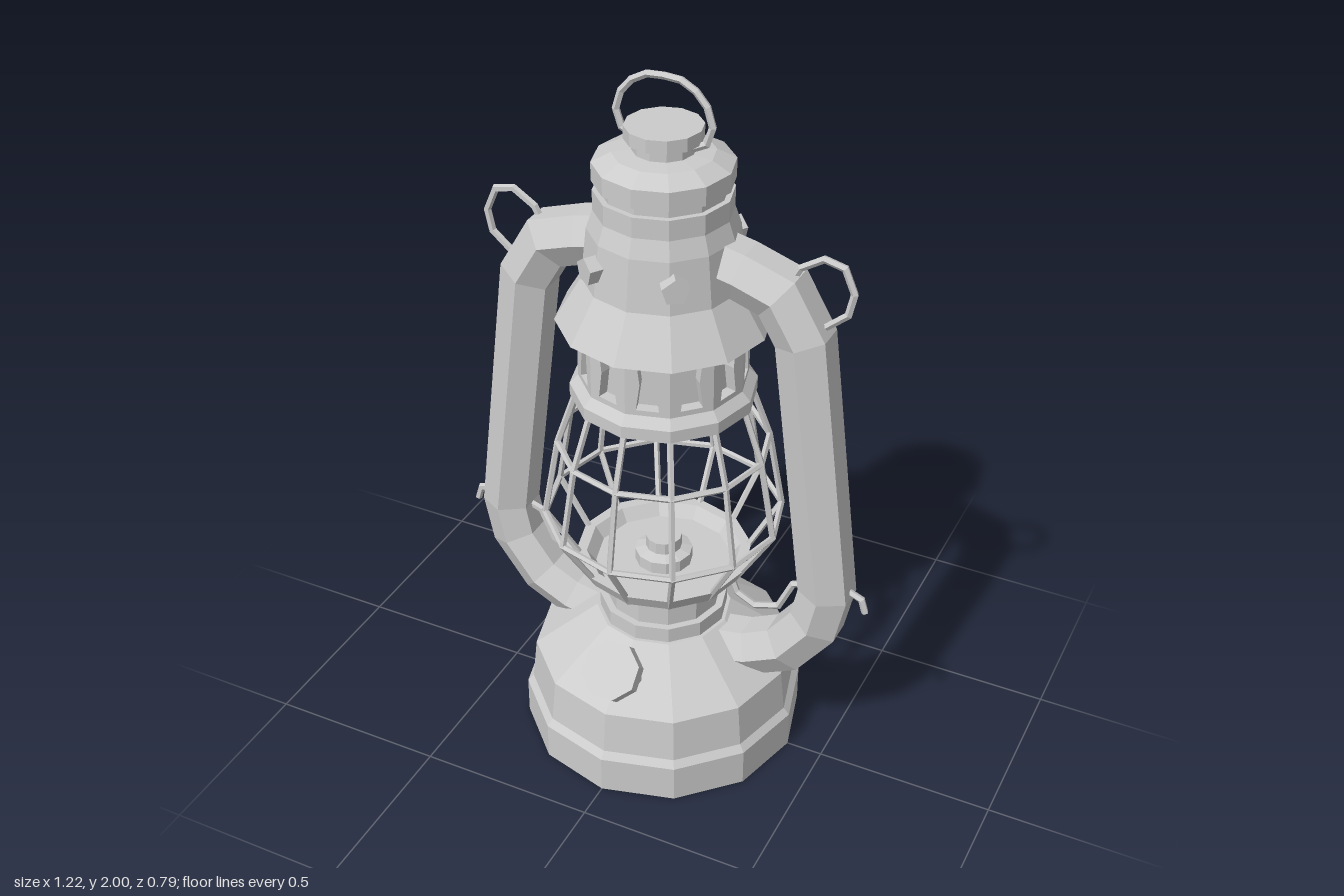
import * as THREE from 'three';

const SIDES = 12;
const mat = new THREE.MeshStandardMaterial({ color: 0xcccccc, flatShading: true, side: THREE.DoubleSide });

function add(parent, name, geometry) {
  const mesh = new THREE.Mesh(geometry, mat);
  mesh.name = name;
  parent.add(mesh);
  return mesh;
}

// Faceted turned part from [radius, height] pairs
const turned = (profile) => new THREE.LatheGeometry(profile.map(([r, y]) => new THREE.Vector2(r, y)), SIDES);

// Mitred sweep of a regular polygon along a path in the xy plane, with end caps
function sweep(path, radius, sides) {
  const pts = path.map(([x, y]) => new THREE.Vector2(x, y));
  const pos = [], index = [], last = pts.length - 1;
  pts.forEach((p, i) => {
    const a = p.clone().sub(pts[Math.max(i - 1, 0)]).normalize();
    const b = pts[Math.min(i + 1, last)].clone().sub(p).normalize();
    const t = a.clone().add(b).normalize();
    const miter = 1 / Math.max(0.5, t.dot(i ? a : b));
    for (let j = 0; j < sides; j++) {
      const ang = (j / sides) * Math.PI * 2;
      const n = Math.sin(ang) * radius * miter;
      pos.push(p.x - t.y * n, p.y + t.x * n, Math.cos(ang) * radius);
    }
  });
  for (let i = 0; i < last; i++) {
    for (let j = 0; j < sides; j++) {
      const a = i * sides + j, b = i * sides + ((j + 1) % sides);
      index.push(a, a + sides, b, b, a + sides, b + sides);
    }
  }
  const end = last * sides;
  for (let j = 1; j < sides - 1; j++) index.push(0, j, j + 1, end, end + j + 1, end + j);
  const g = new THREE.BufferGeometry();
  g.setAttribute('position', new THREE.Float32BufferAttribute(pos, 3));
  g.setIndex(index);
  g.computeVertexNormals();
  return g;
}

export function createModel() {
  const lantern = new THREE.Group();
  lantern.name = 'lantern';

  // Fuel tank and stepped collar
  add(lantern, 'fuelTank', turned([
    [0, 0], [0.397, 0], [0.397, 0.11], [0.38, 0.13], [0.367, 0.255], [0.19, 0.385],
    [0.18, 0.385], [0.18, 0.43], [0.16, 0.43], [0.16, 0.49], [0, 0.49],
  ]));

  // Bowl below the cage, with a hollow top, and the burner in it
  add(lantern, 'burnerBowl', turned([
    [0.155, 0.485], [0.225, 0.54], [0.245, 0.58], [0.215, 0.58], [0.19, 0.545], [0, 0.545],
  ]));
  add(lantern, 'burner', turned([[0.08, 0.545], [0.08, 0.58], [0.05, 0.59], [0.05, 0.625], [0, 0.625]]));

  // Wire cage
  const cage = new THREE.Group();
  cage.name = 'wireCage';
  lantern.add(cage);
  const rib = sweep([[0.215, 0.54], [0.325, 0.72], [0.285, 0.95], [0.23, 1.11]], 0.009, 5);
  for (let i = 0; i < SIDES; i++) add(cage, 'cageRib', rib).rotation.y = (i / SIDES) * Math.PI * 2;
  for (const [r, y] of [[0.325, 0.72], [0.285, 0.95]]) {
    const ring = add(cage, 'cageRing', new THREE.TorusGeometry(r, 0.009, 5, SIDES));
    ring.rotation.x = Math.PI / 2;
    ring.position.y = y;
  }

  // Rim above the cage
  add(lantern, 'upperRim', turned([
    [0, 1.135], [0.2, 1.135], [0.215, 1.1], [0.248, 1.1], [0.248, 1.135], [0.225, 1.16], [0, 1.16],
  ]));

  // Vent wall: one slotted plate per facet around an inner core
  const vents = new THREE.Group();
  vents.name = 'ventWall';
  lantern.add(vents);
  const half = 0.225 * Math.sin(Math.PI / SIDES), inner = 0.225 * Math.cos(Math.PI / SIDES);
  const plate = new THREE.Shape([[-half, 1.15], [half, 1.15], [half, 1.36], [-half, 1.36]]
    .map(([x, y]) => new THREE.Vector2(x, y)));
  plate.holes.push(new THREE.Path([
    [-0.03, 1.175], [-0.02, 1.25], [-0.03, 1.335], [0.03, 1.335], [0.02, 1.25], [0.03, 1.175],
  ].map(([x, y]) => new THREE.Vector2(x, y))));
  const plateGeometry = new THREE.ExtrudeGeometry(plate, { depth: 0.03, bevelEnabled: false });
  plateGeometry.translate(0, 0, inner - 0.03);
  for (let i = 0; i < SIDES; i++) {
    add(vents, 'ventPlate', plateGeometry).rotation.y = ((i + 0.5) / SIDES) * Math.PI * 2;
  }
  add(vents, 'ventCore', turned([[0.185, 1.15], [0.185, 1.37]]));

  // Skirt, chimney and cap
  add(lantern, 'chimney', turned([
    [0, 1.36], [0.225, 1.36], [0.282, 1.33], [0.21, 1.45], [0.195, 1.59], [0.178, 1.64],
    [0.178, 1.695], [0.163, 1.695], [0.163, 1.72], [0.18, 1.72], [0.18, 1.77], [0.13, 1.795],
    [0.08, 1.8], [0.08, 1.83], [0.1, 1.83], [0.1, 1.865], [0, 1.865],
  ]));

  // Five-sided studs around the chimney
  for (const angle of [33, 147, 213, 327]) {
    const stud = new THREE.CylinderGeometry(0.036, 0.036, 0.07, 5);
    stud.rotateX(Math.PI / 2);
    stud.rotateZ(Math.PI);
    if (new THREE.Vector3().fromBufferAttribute(stud.attributes.position, 0).y < 0) stud.rotateZ(Math.PI);
    stud.translate(0, 1.525, 0.195);
    add(lantern, 'chimneyStud', stud).rotation.y = THREE.MathUtils.degToRad(angle);
  }

  // Side frame tubes with their wire hooks, repeated on both sides
  for (const turn of [0, Math.PI]) {
    const side = new THREE.Group();
    side.name = turn ? 'rightFrame' : 'leftFrame';
    side.rotation.y = turn;
    lantern.add(side);
    add(side, 'frameTube', sweep([
      [0.15, 1.53], [0.22, 1.515], [0.325, 1.48], [0.392, 1.365], [0.488, 0.6],
      [0.465, 0.49], [0.38, 0.375], [0.28, 0.325], [0.2, 0.31],
    ], 0.079, 6));
    add(side, 'upperHook', sweep([
      [0.34, 1.5], [0.37, 1.56], [0.43, 1.598], [0.485, 1.585], [0.513, 1.52], [0.5, 1.46], [0.43, 1.4], [0.39, 1.4],
    ], 0.01, 5));
    add(side, 'lowerHook', sweep([
      [0.6, 0.56], [0.588, 0.6], [0.55, 0.615], [0.47, 0.61], [0.39, 0.585],
      [0.35, 0.495], [0.28, 0.472], [0.225, 0.5], [0.205, 0.55],
    ], 0.01, 5));
  }

  // Lifting ring on the cap
  const arc = [[0.075, 1.815], [0.115, 1.835], [0.13, 1.88], [0.115, 1.93], [0.085, 1.965], [0.045, 1.987]];
  add(lantern, 'liftingRing', sweep(
    [...arc, [0, 1.99], ...arc.slice().reverse().map(([x, y]) => [-x, y])], 0.01, 5));

  // Filler cap on the sloping front of the tank
  const filler = new THREE.Group();
  filler.name = 'fillerCap';
  filler.position.set(0, 0.36, 0.305);
  filler.rotation.x = Math.PI / 4;
  lantern.add(filler);
  add(filler, 'fillerNeck', new THREE.CylinderGeometry(0.06, 0.06, 0.12, 8)).position.y = -0.05;
  add(filler, 'fillerLid', new THREE.CylinderGeometry(0.083, 0.083, 0.04, 8, 1, false, Math.PI / 8)).position.y = 0.02;

  return lantern;
}
